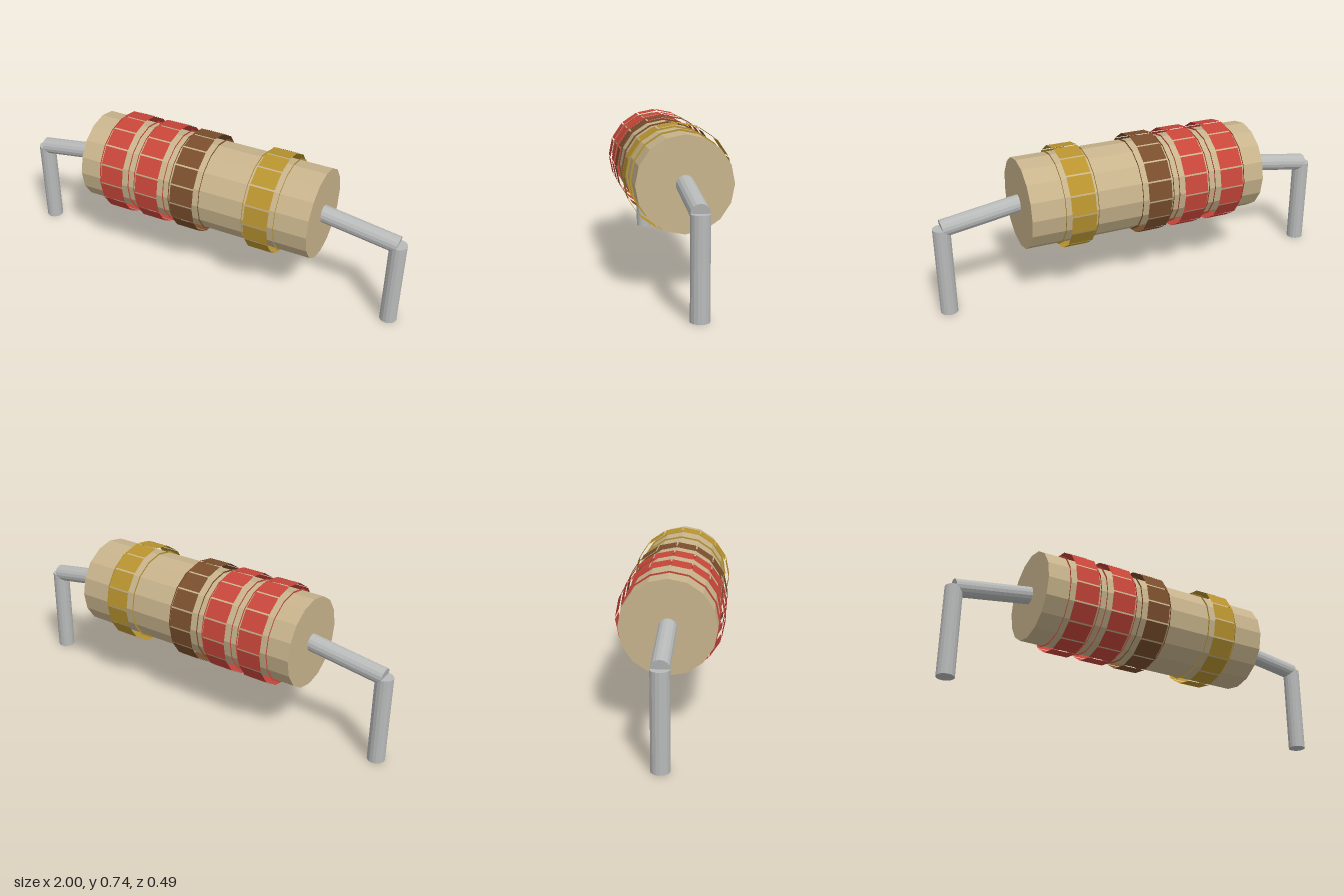
import * as THREE from 'three';
import { mergeGeometries } from 'three/addons/utils/BufferGeometryUtils.js';

const SIDES = 16, AXIS_Y = 0.492, BODY_END = 0.593;
const BAND_R = 0.225, BAND_W = 0.118, LIFT = 0.02;

function material(name, color, options = {}) {
  const m = new THREE.MeshStandardMaterial({ color, flatShading: true, ...options });
  m.name = name;
  return m;
}

function part(name, geometry, mat) {
  const mesh = new THREE.Mesh(geometry, mat);
  mesh.name = name;
  return mesh;
}

// Band of separate flat tiles with a thin disc on each side, all lifted off the band surface
function bandGeometry() {
  const pieces = [];
  const tile = 2 * BAND_R * Math.sin(Math.PI / SIDES);
  const apothem = BAND_R * Math.cos(Math.PI / SIDES);
  for (let i = 0; i < SIDES; i++) {
    pieces.push(new THREE.PlaneGeometry(BAND_W, tile)
      .translate(0, 0, apothem + LIFT)
      .rotateX((i + 0.5) * 2 * Math.PI / SIDES));
  }
  for (const side of [-1, 1]) {
    pieces.push(new THREE.CircleGeometry(BAND_R, SIDES)
      .rotateY(side * Math.PI / 2)
      .translate(side * (BAND_W / 2 + LIFT), 0, 0));
  }
  return mergeGeometries(pieces);
}

// Straight wire between two points
function wire(name, from, to, mat) {
  const dir = to.clone().sub(from);
  const mesh = part(name, new THREE.CylinderGeometry(0.0415, 0.0415, dir.length(), SIDES), mat);
  mesh.position.copy(from).add(to).multiplyScalar(0.5);
  mesh.quaternion.setFromUnitVectors(new THREE.Vector3(0, 1, 0), dir.normalize());
  return mesh;
}

export function createModel() {
  const group = new THREE.Group();
  group.name = 'resistor';
  const tan = material('tan ceramic', 0xc8b48c);
  const metal = material('grey metal', 0xb8bab9);
  const bandSide = { side: THREE.DoubleSide };
  const red = material('red', 0xc8463a, bandSide);
  const brown = material('brown', 0x7a4e2d, bandSide);
  const gold = material('gold', 0xb8932f, bandSide);

  // Body
  const body = part('body',
    new THREE.CylinderGeometry(0.217, 0.217, 2 * BODY_END, SIDES).rotateZ(Math.PI / 2), tan);
  body.position.y = AXIS_Y;
  group.add(body);

  // Colour bands
  const bands = [
    ['firstBand', -0.405, red], ['secondBand', -0.215, red],
    ['thirdBand', -0.027, brown], ['toleranceBand', 0.354, gold],
  ];
  const geometry = bandGeometry();
  for (const [name, x, mat] of bands) {
    const band = part(name, geometry, mat);
    band.position.set(x, AXIS_Y, 0);
    group.add(band);
  }

  // Leads: a sloping arm and a vertical leg at each end
  for (const [label, s] of [['left', 1], ['right', -1]]) {
    const elbow = new THREE.Vector3(s * 0.9585, 0.436, 0);
    group.add(wire(label + 'Arm', elbow, new THREE.Vector3(s * 0.58, 0.495, 0), metal));
    group.add(wire(label + 'Leg', new THREE.Vector3(s * 0.9585, 0, 0), elbow, metal));
  }
  return group;
}
